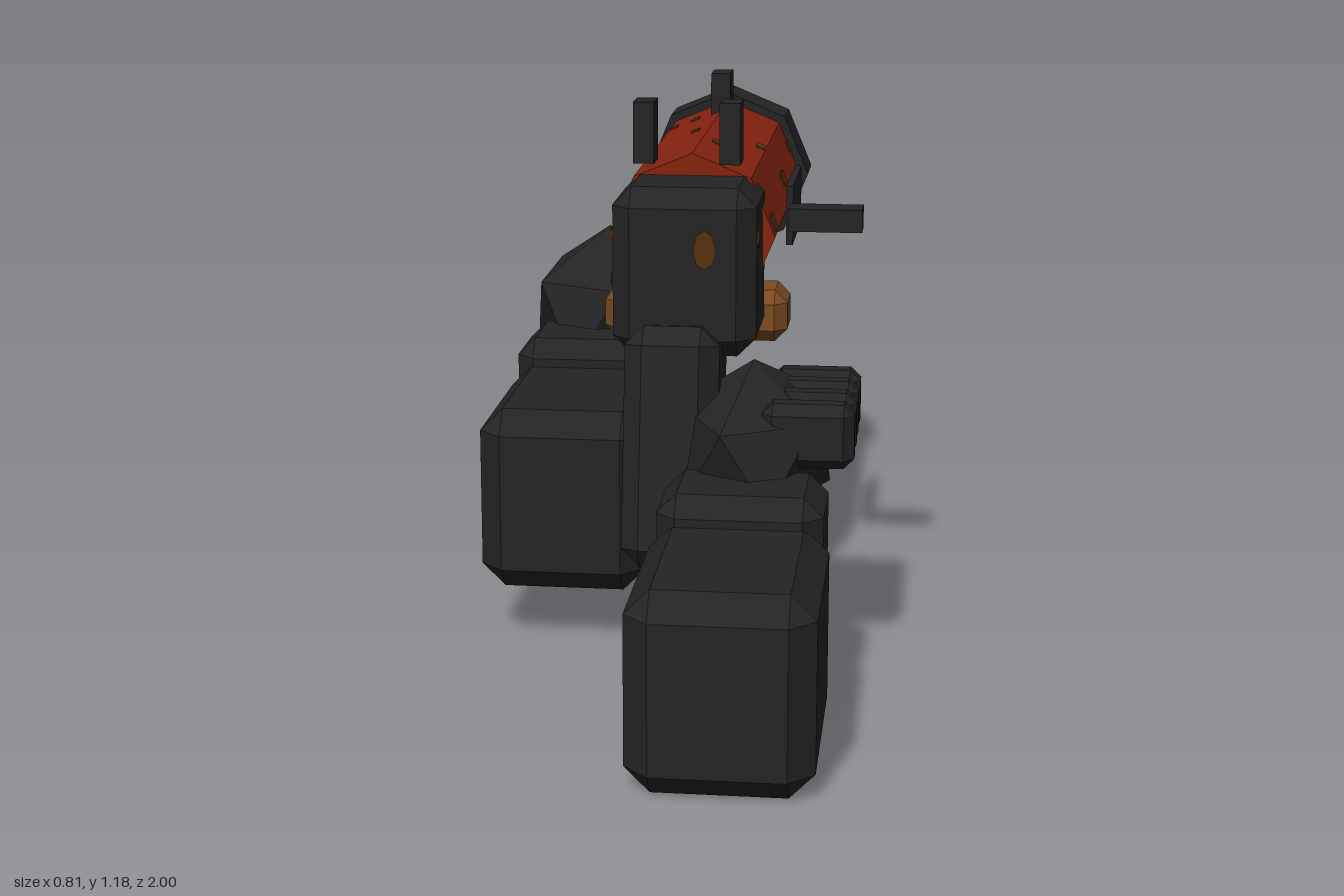
import * as THREE from 'three';
import { ConvexGeometry } from 'three/addons/geometries/ConvexGeometry.js';

const material = (name, color) => {
  const m = new THREE.MeshStandardMaterial({ color });
  m.name = name;
  return m;
};

// Box with all edges chamfered by c
function chamferBox(w, h, d, c) {
  const half = [w / 2, h / 2, d / 2];
  const points = [];
  for (const sx of [-1, 1]) for (const sy of [-1, 1]) for (const sz of [-1, 1])
    for (let axis = 0; axis < 3; axis++) {
      const p = half.map((v, i) => (i === axis ? v : v - c));
      points.push(new THREE.Vector3(p[0] * sx, p[1] * sy, p[2] * sz));
    }
  return new ConvexGeometry(points);
}

// Flat-sided octagonal prism along z, with a corner at the top
function octagon(radius, length) {
  const g = new THREE.CylinderGeometry(radius, radius, length, 8).rotateX(Math.PI / 2).toNonIndexed();
  g.computeVertexNormals();
  return g;
}

export function createModel() {
  const model = new THREE.Group();
  const dark = material('charcoal', 0x242424);
  const red = material('paintedRed', 0x86230f);
  const wood = material('woodBrown', 0x7b4b20);
  const rust = material('rust', 0x58300f);

  const add = (parent, name, geometry, mat, x, y, z) => {
    const mesh = new THREE.Mesh(geometry, mat);
    mesh.name = name;
    mesh.position.set(x, y, z);
    parent.add(mesh);
    return mesh;
  };
  const box = (w, h, d) => new THREE.BoxGeometry(w, h, d);

  // Barrel and muzzle
  const cx = 0.037, cy = 0.88;
  add(model, 'barrel', octagon(0.18, 0.88), red, cx, cy, -0.44);
  add(model, 'muzzleRing', octagon(0.2, 0.14), dark, cx, cy, -0.905);
  add(model, 'muzzleCap', octagon(0.15, 0.04), dark, cx, cy, -0.98);

  // Rust chips on the barrel: face index, z, offset across the face, length, width
  const chips = [
    [0, -0.5, -0.02, 0.08, 0.03], [0, -0.81, 0.01, 0.04, 0.025], [0, -0.7, -0.055, 0.04, 0.02],
    [0, -0.06, -0.045, 0.06, 0.035], [7, -0.53, 0.015, 0.05, 0.022], [7, -0.62, 0.015, 0.06, 0.022],
    [7, -0.78, 0.04, 0.04, 0.02], [1, -0.41, -0.055, 0.05, 0.02], [1, -0.36, 0, 0.03, 0.02],
    [1, -0.24, 0.035, 0.04, 0.025], [2, -0.68, 0, 0.04, 0.022], [2, -0.68, 0.055, 0.03, 0.02],
    [2, -0.42, -0.03, 0.03, 0.02], [3, -0.3, 0.02, 0.05, 0.025], [3, -0.55, -0.02, 0.04, 0.025],
    [4, -0.4, 0.02, 0.05, 0.025], [4, -0.7, -0.02, 0.04, 0.025],
  ];
  const apothem = 0.18 * Math.cos(Math.PI / 8);
  for (const [face, z, offset, length, width] of chips) {
    const a = Math.PI / 8 + face * Math.PI / 4;
    const chip = add(model, 'barrelRust', box(0.006, width, length), rust,
      cx + Math.cos(a) * apothem - Math.sin(a) * offset,
      cy + Math.sin(a) * apothem + Math.cos(a) * offset, z);
    chip.rotation.z = a;
  }

  // Receiver with worn spots
  add(model, 'receiver', chamferBox(0.305, 0.36, 0.29, 0.04), dark, cx, 0.832, 0.047);
  const spot = new THREE.CylinderGeometry(0.024, 0.024, 0.006, 8).rotateX(Math.PI / 2);
  add(model, 'frontRust', spot, rust, 0.083, 0.887, 0.192).scale.y = 1.75;
  const sideSpot = add(model, 'sideRust', spot, rust, 0.19, 0.9, 0.125);
  sideSpot.rotation.y = Math.PI / 2;
  sideSpot.scale.set(0.9, 0.8, 1);

  // Side plate and bolt handle
  add(model, 'sidePlate', box(0.015, 0.13, 0.285), dark, 0.241, 0.91, -0.24);
  add(model, 'boltHandle', box(0.16, 0.05, 0.07), dark, 0.322, 0.91, -0.08);

  // Sights
  for (const x of [-0.053, 0.129])
    add(model, 'rearSight', box(0.044, 0.13, 0.07), dark, x, 1.12, 0.084);
  add(model, 'frontSight', box(0.046, 0.1, 0.08), dark, cx, 1.1, -0.685);

  // Cross block under the barrel and slanted grip
  add(model, 'crossBlock', chamferBox(0.405, 0.115, 0.155, 0.028), wood, cx, 0.688, -0.138);
  const grip = add(model, 'grip', chamferBox(0.2, 0.51, 0.24, 0.04), dark, 0.02, 0.465, 0.19);
  grip.rotation.x = -0.18;

  // Arms: forearm, wrist, faceted hand and four fingers
  function arm(name, s) {
    const g = new THREE.Group();
    g.name = name;
    model.add(g);
    add(g, 'forearm', chamferBox(0.36, 0.4, 0.5, 0.05), dark, s.x, s.forearm[0], s.forearm[1]);
    add(g, 'wrist', chamferBox(0.335, 0.275, 0.255, 0.04), dark, s.x, s.wrist[0], s.wrist[1]);
    const hand = add(g, 'hand', new THREE.IcosahedronGeometry(s.radius, 0), dark, s.x, s.hand[0], s.hand[1]);
    hand.scale.z = 0.3 / s.radius;
    hand.rotation.z = s.roll;
    for (let i = 0; i < 4; i++)
      add(g, 'finger', chamferBox(0.19, 0.135, 0.08, 0.022), dark,
        s.finger[0], s.finger[1], s.finger[2] + (i - 1.5) * s.finger[3]);
  }
  arm('rearArm', {
    x: 0.19, forearm: [0.203, 0.75], wrist: [0.323, 0.447], hand: [0.475, 0.185],
    radius: 0.18, roll: 0.56, finger: [0.313, 0.536, 0.185, 0.098],
  });
  arm('foreArm', {
    x: -0.225, forearm: [0.325, -0.04], wrist: [0.447, -0.34], hand: [0.585, -0.605],
    radius: 0.2, roll: -0.55, finger: [-0.1, 0.667, -0.575, 0.112],
  });

  return model;
}
